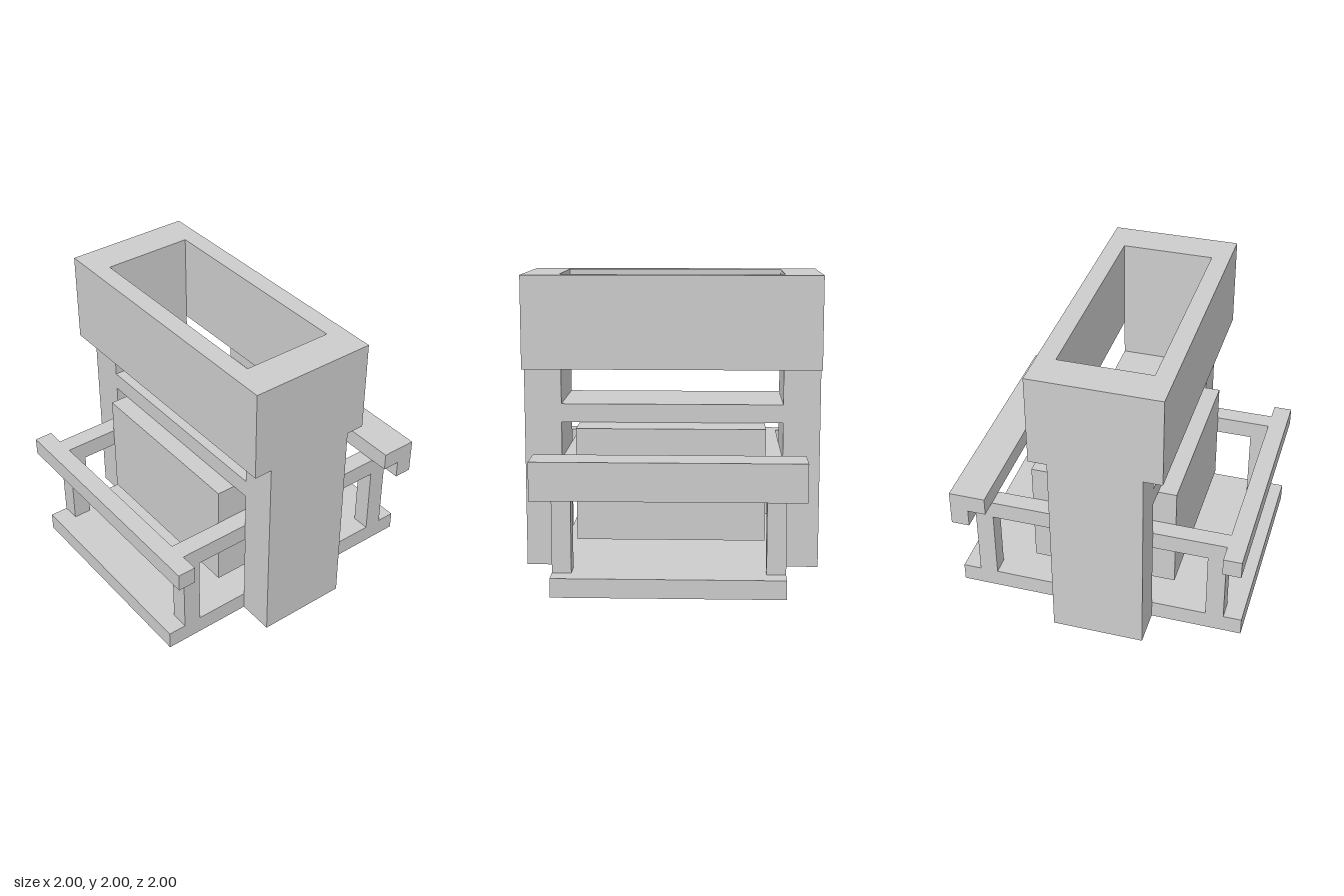
import * as THREE from 'three';

const material = new THREE.MeshStandardMaterial({ color: 0xcccccc, flatShading: true });

export function createModel() {
  const model = new THREE.Group();

  // Adds a box given its extents along each axis
  function box(name, [x0, x1], [y0, y1], [z0, z1]) {
    const mesh = new THREE.Mesh(new THREE.BoxGeometry(x1 - x0, y1 - y0, z1 - z0), material);
    mesh.position.set((x0 + x1) / 2, (y0 + y1) / 2, (z0 + z1) / 2);
    mesh.name = name;
    model.add(mesh);
  }

  // Rectangular outline in plan; shape y becomes -z once laid flat
  function rectangle(path, halfWidth, back, front) {
    path.moveTo(-halfWidth, -front);
    path.lineTo(halfWidth, -front);
    path.lineTo(halfWidth, -back);
    path.lineTo(-halfWidth, -back);
    path.closePath();
    return path;
  }

  // Open hopper on top
  const rim = rectangle(new THREE.Shape(), 1, -0.375, 0.5);
  rim.holes.push(rectangle(new THREE.Path(), 0.75, -0.25, 0.375));
  const hopper = new THREE.Mesh(
    new THREE.ExtrudeGeometry(rim, { depth: 0.625, bevelEnabled: false }), material);
  hopper.rotation.x = -Math.PI / 2;
  hopper.position.y = 1.375;
  hopper.name = 'hopper';
  model.add(hopper);

  // Base, shelf and central block
  box('base', [-0.75, 0.75], [0, 0.125], [-1, 1]);
  box('shelf', [-0.75, 0.75], [1, 1.125], [-0.25, 0.375]);
  box('centralBlock', [-0.625, 0.625], [0.25, 1], [-0.5, 0.5]);

  // Pillars, side arms and posts, mirrored left and right
  for (const [side, s] of [['left', 1], ['right', -1]]) {
    const span = (a, b) => (s > 0 ? [a, b] : [-b, -a]);
    box(side + 'Pillar', span(0.75, 1), [0, 1.375], [-0.25, 0.375]);
    box(side + 'Arm', span(0.625, 0.75), [0.625, 0.75], [-0.875, 0.875]);
    box(side + 'FrontPost', span(0.625, 0.75), [0.125, 0.625], [0.75, 0.875]);
    box(side + 'BackPost', span(0.625, 0.75), [0.125, 0.625], [-0.875, -0.75]);
  }

  // Front rail, and back rail with its hanging lip
  box('frontRail', [-0.875, 0.875], [0.625, 0.75], [0.875, 1]);
  box('backRail', [-0.875, 0.875], [0.75, 0.875], [-1, -0.75]);
  box('backRailLip', [-0.875, 0.875], [0.625, 0.75], [-1, -0.875]);

  return model;
}
